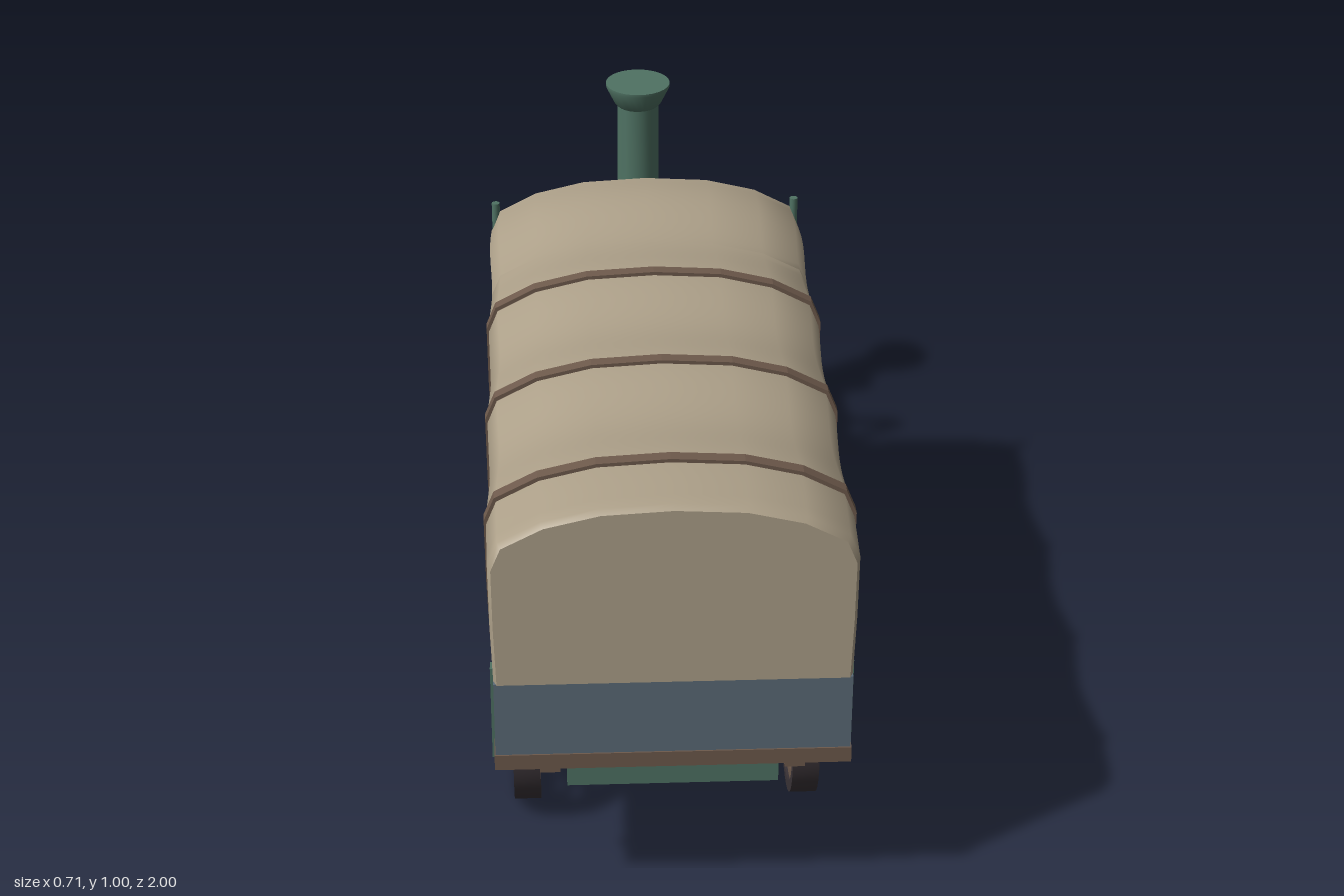
import * as THREE from 'three';
import { toCreasedNormals } from 'three/addons/utils/BufferGeometryUtils.js';

const mat = (color) => new THREE.MeshStandardMaterial({ color, side: THREE.DoubleSide });

export function createModel() {
  const root = new THREE.Group();
  const green = mat(0x4f7263), canvas = mat(0xada089), blue = mat(0x5b6a77);
  const brown = mat(0x6e5a4c), dark = mat(0x3a3337), brass = mat(0xa88a4c);

  const add = (name, geo, m, x = 0, y = 0, z = 0, parent = root) => {
    const mesh = new THREE.Mesh(geo, m);
    mesh.name = name;
    mesh.position.set(x, y, z);
    parent.add(mesh);
    return mesh;
  };
  // box given by its limits on each axis
  const box = (name, m, x0, x1, y0, y1, z0, z1) =>
    add(name, new THREE.BoxGeometry(Math.abs(x1 - x0), y1 - y0, Math.abs(z1 - z0)), m, (x0 + x1) / 2, (y0 + y1) / 2, (z0 + z1) / 2);
  // cylinder between two points
  const rod = (name, m, a, b, r, r2 = r, seg = 20, parent = root) => {
    const p = new THREE.Vector3(...a), q = new THREE.Vector3(...b), d = q.clone().sub(p);
    const mesh = add(name, new THREE.CylinderGeometry(r2, r, d.length(), seg), m, 0, 0, 0, parent);
    mesh.position.copy(p).add(q).multiplyScalar(0.5);
    mesh.quaternion.setFromUnitVectors(new THREE.Vector3(0, 1, 0), d.normalize());
    return mesh;
  };
  const both = (fn) => [-1, 1].forEach(fn);

  // ---- canvas cover ----
  const half = [[0.347, 0.565], [0.351, 0.7], [0.352, 0.835], [0.332, 0.885], [0.25, 0.929], [0.14, 0.956], [0, 0.964]];
  const outline = (from) => {
    const h = half.slice(from);
    return [...h, ...h.slice(0, -1).reverse().map(([x, y]) => [-x, y])];
  };
  const sag = (z) => Math.sin(Math.PI * (z - 0.065) / 0.385) ** 2 * (z > 0.835 ? 0.4 : 1);
  const shape = ([x, y], z, k = 1) => {
    const s = sag(z);
    return [x * (1 - 0.016 * s) * k, 0.565 + (y - 0.565) * (1 - 0.05 * s) * k, z];
  };
  const loft = (rows) => {
    const n = rows[0].length, idx = [];
    for (let i = 0; i < rows.length - 1; i++)
      for (let j = 0; j < n - 1; j++) {
        const a = i * n + j, b = a + n;
        idx.push(a, a + 1, b, a + 1, b + 1, b);
      }
    const g = new THREE.BufferGeometry();
    g.setAttribute('position', new THREE.Float32BufferAttribute(rows.flat(2), 3));
    g.setIndex(idx);
    g.computeVertexNormals();
    return g;
  };
  const cover = outline(0), rows = [];
  for (let i = 0; i <= 36; i++) {
    const z = 0.985 - i * 1.105 / 36;
    rows.push(cover.map((p) => shape(p, z)));
  }
  rows.unshift(cover.map((p) => shape(p, 0.999, 0.982)));
  add('canvasCover', loft(rows), canvas);
  const endWall = (name, z, k) => add(name, new THREE.ShapeGeometry(new THREE.Shape(
    cover.map((p) => new THREE.Vector2(...shape(p, z, k).slice(0, 2))))), canvas, 0, 0, z);
  endWall('canvasRearWall', 0.999, 0.982);
  endWall('canvasCabWall', -0.115, 1);

  // canopy over the driver
  const canopy = outline(2), canopyRows = [];
  for (let i = 0; i <= 10; i++) {
    const z = -0.115 - i * 0.0305;
    canopyRows.push(canopy.map((p) => shape(p, z)));
  }
  add('cabCanopy', loft(canopyRows), canvas);

  // hoops around the cover
  [0.835, 0.45, 0.065].forEach((z) => {
    const s = new THREE.Shape(cover.map(([x, y]) => new THREE.Vector2(x * 1.013, y + (y > 0.6 ? 0.007 : 0))));
    [...cover].reverse().forEach(([x, y]) => s.lineTo(x * 0.985, y - 0.006));
    add('coverHoop', new THREE.ExtrudeGeometry(s, { depth: 0.026, bevelEnabled: false }), brown, 0, 0, z - 0.013);
  });

  // ---- wagon body ----
  box('wagonBody', blue, -0.345, 0.345, 0.4, 0.566, -0.115, 0.997);
  box('wagonFloor', brown, -0.347, 0.347, 0.366, 0.4, -0.115, 1);
  box('cabFloor', brown, -0.31, 0.31, 0.335, 0.364, -0.48, -0.1);
  box('seatBox', blue, -0.3, 0.3, 0.364, 0.5, -0.235, -0.115);
  box('seatPlank', brown, -0.325, 0.325, 0.5, 0.522, -0.275, -0.115);
  both((s) => {
    [0.93, 0.645, 0.355, 0.065].forEach((z) => box('sideStake', green, s * 0.342, s * 0.352, 0.355, 0.565, z - 0.012, z + 0.012));
    box('cabSidePanel', blue, s * 0.325, s * 0.343, 0.36, 0.5, -0.295, -0.115);
    box('floorJoist', brown, s * 0.22, s * 0.26, 0.335, 0.366, -0.1, 0.97);
    rod('canopyPost', green, [s * 0.338, 0.35, -0.415], [s * 0.338, 0.9, -0.415], 0.009);
    box('postFoot', green, s * 0.3, s * 0.348, 0.335, 0.375, -0.43, -0.4);
    box('stepPlate', green, s * 0.265, s * 0.355, 0.192, 0.205, -0.41, -0.29);
    box('stepHanger', green, s * 0.285, s * 0.3, 0.2, 0.34, -0.36, -0.34);
    // chassis rails
    box('chassisRail', green, s * 0.18, s * 0.207, 0.31, 0.366, -0.47, 0.98);
    box('frontRail', green, s * 0.185, s * 0.21, 0.272, 0.312, -0.96, -0.44);
  });
  [0.965, 0.56, 0.1, -0.42].forEach((z) => box('crossMember', green, -0.207, 0.207, 0.31, 0.362, z - 0.015, z + 0.015));
  box('frontBeam', green, -0.215, 0.215, 0.272, 0.325, -0.965, -0.935);

  // ---- tanks and gear underneath ----
  rod('waterTank', green, [-0.19, 0.197, 0.28], [0.19, 0.197, 0.28], 0.094, 0.094, 36);
  both((s) => rod('tankStrap', dark, [s * 0.12, 0.27, 0.28], [s * 0.06, 0.33, 0.28], 0.01));
  rod('tankNeck', green, [0, 0.28, 0.28], [0, 0.35, 0.28], 0.024);
  box('lowerGearCase', green, -0.17, 0.17, 0.162, 0.235, -0.04, 0.18);
  box('upperGearCase', green, -0.19, 0.19, 0.23, 0.3, -0.14, 0.13);
  box('gearCaseBracket', green, -0.15, 0.15, 0.29, 0.34, -0.1, 0.1);
  box('engineBlock', green, 0.12, 0.215, 0.165, 0.235, -0.14, -0.03);
  [0.212, 0.242].forEach((y) => rod('driveRod', green, [0.215, y, -0.04], [0.215, y, -0.6], 0.008));
  rod('rodLink', green, [0.24, 0.22, -0.45], [0.24, 0.335, -0.45], 0.009);
  rod('reachRod', dark, [-0.1, 0.2, -0.1], [-0.1, 0.2, -0.6], 0.008);

  // ---- wheels, axles, springs ----
  const ring = (r, inner, depth) => {
    const s = new THREE.Shape().absarc(0, 0, r, 0, Math.PI * 2, false);
    s.holes.push(new THREE.Path().absarc(0, 0, inner, 0, Math.PI * 2, true));
    const g = new THREE.ExtrudeGeometry(s, { depth, curveSegments: 22, bevelEnabled: false });
    return toCreasedNormals(g.translate(0, 0, -depth / 2).rotateY(Math.PI / 2), 0.6);
  };
  const wheel = (side, r, z) => {
    const w = new THREE.Group();
    w.name = z > 0 ? 'rearWheel' : 'frontWheel';
    w.position.set(side * 0.288, r + 0.003, z);
    add('tyre', ring(r, r * 0.87, 0.055), dark, 0, 0, 0, w);
    add('rim', ring(r * 0.88, r * 0.74, 0.044), brown, 0, 0, 0, w);
    for (let i = 0; i < 10; i++) {
      const a = i * Math.PI / 5, c = Math.cos(a), s = Math.sin(a);
      rod('spoke', brown, [0, 0.02 * s, 0.02 * c], [0, r * 0.78 * s, r * 0.78 * c], 0.015, 0.01, 8, w);
    }
    rod('hub', green, [side * -0.045, 0, 0], [side * 0.04, 0, 0], 0.042, 0.036, 20, w);
    rod('hubCap', green, [side * 0.03, 0, 0], [side * 0.055, 0, 0], 0.024, 0.02, 16, w);
    root.add(w);
  };
  [[0.175, 0.558], [0.153, -0.637]].forEach(([r, z]) => {
    rod('axle', green, [-0.3, r, z], [0.3, r, z], 0.017);
    both((s) => {
      wheel(s, r, z);
      const bow = new THREE.QuadraticBezierCurve3(
        new THREE.Vector3(s * 0.22, 0.285, z - 0.16), new THREE.Vector3(s * 0.22, 0.215, z), new THREE.Vector3(s * 0.22, 0.285, z + 0.16));
      add('leafSpring', new THREE.TubeGeometry(bow, 12, 0.012, 6), green);
      box('springClamp', green, s * 0.208, s * 0.232, r - 0.02, 0.285, z - 0.022, z + 0.022);
      both((t) => box('springHanger', green, s * 0.19, s * 0.232, 0.26, 0.315, z + t * 0.16 - 0.012, z + t * 0.16 + 0.012));
    });
  });
  box('chainSprocket', green, 0.15, 0.178, 0.155, 0.235, 0.52, 0.6);

  // mudguards over the steered wheels
  both((s) => {
    const arc = new THREE.Shape();
    arc.absarc(0, 0, 0.192, 0.15, 2.55, false);
    arc.absarc(0, 0, 0.182, 2.55, 0.15, true);
    const g = new THREE.ExtrudeGeometry(arc, { depth: 0.077, curveSegments: 16, bevelEnabled: false });
    add('mudguard', toCreasedNormals(g.translate(0, 0, -0.0385).rotateY(Math.PI / 2), 0.6), blue, s * 0.288, 0.156, -0.637);
    rod('mudguardStay', green, [s * 0.19, 0.32, -0.637], [s * 0.29, 0.34, -0.637], 0.008);
  });

  // ---- boiler ----
  const by = 0.456;
  rod('boiler', green, [0, by, -0.478], [0, by, -0.955], 0.18, 0.18, 40);
  [-0.525, -0.72, -0.91].forEach((z) => rod('boilerBand', dark, [0, by, z + 0.012], [0, by, z - 0.012], 0.187, 0.187, 40));
  rod('smokeboxDoor', green, [0, by, -0.95], [0, by, -0.972], 0.155, 0.148, 40);
  [-0.06, 0.06].forEach((d) => box('doorHinge', dark, -0.12, 0.12, by + d - 0.009, by + d + 0.009, -0.982, -0.968));
  rod('doorKnob', green, [0, by, -0.97], [0, by, -0.996], 0.018);
  box('boilerSaddle', green, -0.11, 0.11, 0.26, 0.32, -0.93, -0.5);
  rod('fireDoor', dark, [0, 0.43, -0.48], [0, 0.43, -0.465], 0.07);
  [-0.08, 0.06].forEach((x) => rod('gauge', brass, [x, 0.55, -0.48], [x, 0.55, -0.45], 0.032));

  // chimney, dome and safety valve as turned profiles
  const turned = (name, pts, z) => add(name, toCreasedNormals(
    new THREE.LatheGeometry(pts.map((p) => new THREE.Vector2(...p)), 28), 0.6), green, 0, 0, z);
  turned('chimney', [[0.076, 0.6], [0.076, 0.655], [0.064, 0.668], [0.05, 0.672], [0.049, 0.945], [0.056, 0.952], [0.076, 0.993], [0.076, 1], [0, 1]], -0.85);
  turned('steamDome', [[0.058, 0.61], [0.058, 0.643], [0.05, 0.65], [0.05, 0.695], [0.036, 0.708], [0.03, 0.718], [0, 0.72]], -0.637);
  turned('safetyValve', [[0.026, 0.61], [0.026, 0.645], [0.013, 0.65], [0.013, 0.71], [0.021, 0.712], [0.021, 0.728], [0, 0.73]], -0.552);

  // steam pipes from the dome down to the engine
  [[-0.63, 0.685], [-0.655, 0.665]].forEach(([z, y]) => {
    const path = new THREE.CatmullRomCurve3([[0.03, y, z], [0.17, y, z], [0.205, y - 0.02, z], [0.212, y - 0.06, z], [0.212, 0.4, z], [0.212, 0.25, z]]
      .map((p) => new THREE.Vector3(...p)));
    add('steamPipe', new THREE.TubeGeometry(path, 32, 0.008, 8), green);
  });

  // ---- lamps ----
  box('lampBar', green, -0.275, 0.275, 0.372, 0.388, -0.945, -0.925);
  both((s) => {
    rod('lampStem', green, [s * 0.262, 0.375, -0.94], [s * 0.262, 0.42, -0.94], 0.01);
    rod('lampBody', green, [s * 0.262, 0.445, -0.918], [s * 0.262, 0.445, -0.98], 0.036, 0.044, 24);
    rod('lampLens', brass, [s * 0.262, 0.445, -0.978], [s * 0.262, 0.445, -0.988], 0.038, 0.034, 24);
    box('lampBracket', green, s * 0.19, s * 0.21, 0.29, 0.385, -0.95, -0.925);
  });

  // ---- steering ----
  rod('steeringColumn', green, [0.12, 0.36, -0.415], [0.12, 0.64, -0.335], 0.009);
  const steering = new THREE.Group();
  steering.name = 'steeringWheel';
  steering.position.set(0.12, 0.64, -0.335);
  steering.rotation.x = 0.28;
  add('steeringRim', new THREE.TorusGeometry(0.062, 0.008, 8, 28).rotateX(Math.PI / 2), brown, 0, 0, 0, steering);
  for (let i = 0; i < 3; i++) {
    const a = i * Math.PI * 2 / 3;
    rod('steeringSpoke', brown, [0, 0, 0], [0.06 * Math.cos(a), 0, 0.06 * Math.sin(a)], 0.006, 0.006, 8, steering);
  }
  root.add(steering);
  return root;
}
